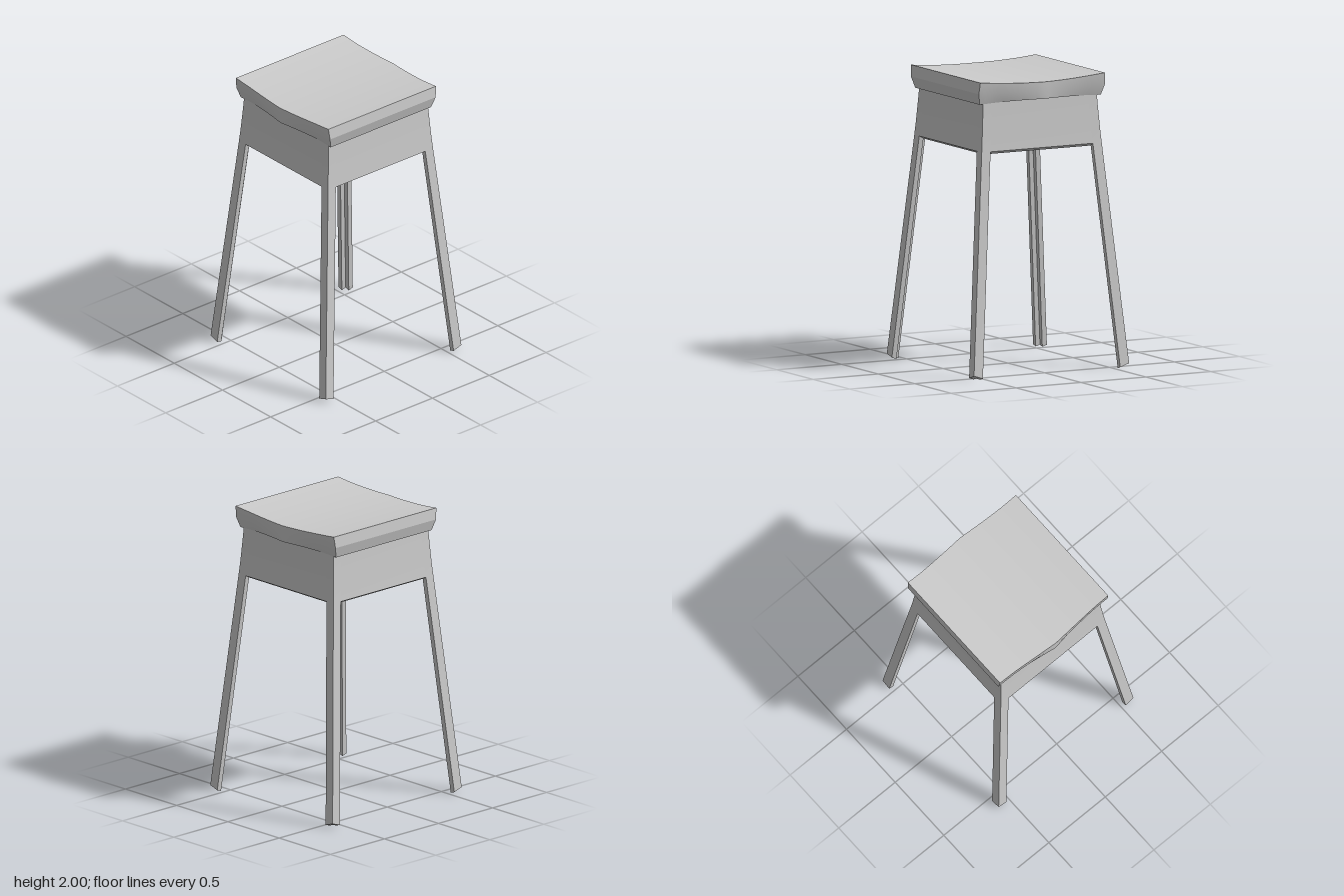
import * as THREE from 'three';
import { toCreasedNormals } from 'three/addons/utils/BufferGeometryUtils.js';

const material = new THREE.MeshStandardMaterial({ color: 0xcccccc });
const LEG_WIDTH = 0.068, THICKNESS = 0.035, TOP = 1.865;

// Skin a row of equal rings (counter-clockwise about the loft direction) and cap both ends.
// Caps fan out from the first point of the ring.
function loft(name, rings) {
  const n = rings[0].length, last = (rings.length - 1) * n, index = [];
  for (let i = 0; i < rings.length - 1; i++) {
    for (let j = 0; j < n; j++) {
      const a = i * n + j, b = i * n + (j + 1) % n;
      index.push(a, b, b + n, a, b + n, a + n);
    }
  }
  for (let j = 1; j < n - 1; j++) {
    index.push(0, j + 1, j, last, last + j, last + j + 1);
  }
  const geometry = new THREE.BufferGeometry();
  geometry.setAttribute('position', new THREE.Float32BufferAttribute(rings.flat(2), 3));
  geometry.setIndex(index);
  const mesh = new THREE.Mesh(toCreasedNormals(geometry, 0.35), material);
  mesh.name = name;
  return mesh;
}

// Distance of the outer faces from the centre: straight splay, easing to vertical at the top.
function splay(y) {
  const straight = 0.597 - 0.0885 * y;
  return y < 1.5 ? straight : straight + 0.015 * ((y - 1.5) / 0.35) ** 2 * (y > 1.6 ? 0.3 : 0);
}

// L-section leg at the front left corner, its foot cut square to the splay
function leg() {
  const levels = [0, 1.5, 1.6, 1.7, 1.78, TOP];
  return loft('leg', levels.map((y) => {
    const d = splay(y), t = d - THICKNESS, w = d - LEG_WIDTH;
    const section = [[t, t], [w, t], [w, d], [d, d], [d, w], [t, w]];
    return section.map(([x, z]) => [x, y === 0 ? 0.035 - 0.33 * (2 * d - x - z) : y, z]);
  }));
}

// Apron board between two legs, its lower edge cut square to the splay
function apron() {
  const levels = [1.525, 1.6, 1.7, 1.78, TOP];
  return loft('apron', levels.map((y, i) => {
    const d = splay(y), t = d - THICKNESS, w = d - LEG_WIDTH;
    const inner = i === 0 ? y - 0.02 : y;
    return [[-w, inner, t], [-w, y, d], [w, y, d], [w, inner, t]];
  }));
}

// Dished seat, bulging at the middle of its left and right edges
function seat() {
  const rings = [], steps = 20;
  for (let i = 0; i <= steps; i++) {
    const s = (i / steps) * 2 - 1;
    const bulge = Math.max(0, 1 - Math.abs(s) / 0.75) ** 1.2;
    const top = 0.474 + 0.021 * bulge, mid = 0.465 + 0.029 * bulge, low = 0.442 + 0.046 * bulge;
    const yTop = 1.975 + 0.025 * s * s, yLow = 1.847 + 0.012 * (1 - s * s);
    const yMid = 1.922 - 0.005 * (1 - s * s);
    const zTop = 0.479 * s, zMid = 0.486 * s, zLow = 0.466 * s;
    rings.push([
      [-mid, yMid, zMid], [-low, yLow, zLow], [low, yLow, zLow],
      [mid, yMid, zMid], [top, yTop, zTop], [-top, yTop, zTop],
    ]);
  }
  return loft('seat', rings);
}

export function createModel() {
  const stool = new THREE.Group();
  stool.name = 'stool';
  stool.add(seat());

  // One leg and one apron board per quarter turn
  const firstLeg = leg(), firstApron = apron();
  for (let i = 0; i < 4; i++) {
    for (const part of [firstLeg, firstApron]) {
      const copy = part.clone();
      copy.name = part.name + (i + 1);
      copy.rotation.y = (i * Math.PI) / 2;
      stool.add(copy);
    }
  }
  return stool;
}
